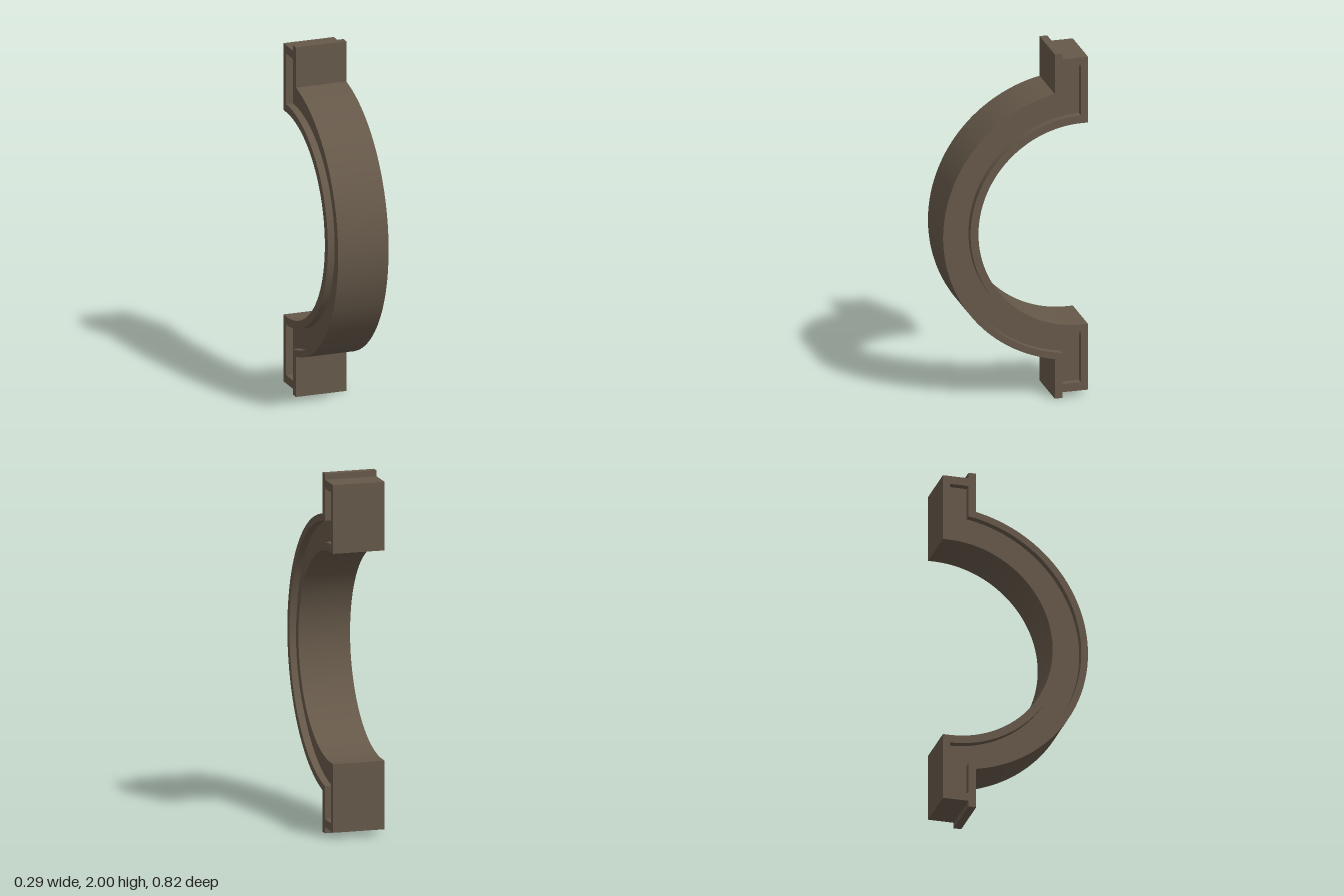
import * as THREE from 'three';
import { toCreasedNormals } from 'three/addons/utils/BufferGeometryUtils.js';

const CZ = -0.375, CY = 1;          // centre of the half ring, as (z, y)
const HALF_WIDTH = 0.147, RECESS = 0.04;

// Half ring with a foot at each end: path points are (z, y), mirrored about y = CY
function trace(path, innerR, outerR, shoulderZ, backZ, foot) {
  const a = Math.acos((shoulderZ - CZ) / outerR);
  path.moveTo(backZ, CY + innerR);
  path.lineTo(CZ, CY + innerR);
  path.absarc(CZ, CY, innerR, Math.PI / 2, -Math.PI / 2, true);
  path.lineTo(backZ, CY - innerR);
  [...foot].reverse().forEach(([z, h]) => path.lineTo(z, CY - h));
  path.absarc(CZ, CY, outerR, -a, a, false);
  foot.forEach(([z, h]) => path.lineTo(z, CY + h));
  path.closePath();
  return path;
}

// Outer silhouette, with the thin lip standing above each foot
function outline() {
  return trace(new THREE.Shape(), 0.585, 0.785, -0.222, -0.41,
    [[-0.222, 1], [-0.265, 1], [-0.265, 0.967], [-0.41, 0.967]]);
}

// Extrude a (z, y) shape across x, centred on the given x
function slab(shape, width, x) {
  const geo = new THREE.ExtrudeGeometry(shape, { depth: width, bevelEnabled: false, curveSegments: 48 });
  geo.translate(0, 0, -width / 2);
  geo.rotateY(-Math.PI / 2);
  geo.translate(x, 0, 0);
  return toCreasedNormals(geo, 0.5);
}

export function createModel() {
  const group = new THREE.Group();
  group.name = 'halfRingBracket';
  const bronze = new THREE.MeshStandardMaterial({ color: 0x655849 });
  bronze.name = 'darkBronze';

  const add = (name, geo) => {
    const mesh = new THREE.Mesh(geo, bronze);
    mesh.name = name;
    group.add(mesh);
  };

  // Solid middle of the bracket
  add('core', slab(outline(), 2 * (HALF_WIDTH - RECESS), 0));

  // Raised rim around the sunken panel on each side
  for (const side of [1, -1]) {
    const rim = outline();
    rim.holes.push(trace(new THREE.Path(), 0.63, 0.747, -0.265, -0.37,
      [[-0.265, 0.92], [-0.37, 0.92]]));
    add(side > 0 ? 'leftRim' : 'rightRim', slab(rim, RECESS, side * (HALF_WIDTH - RECESS / 2)));
  }
  return group;
}
